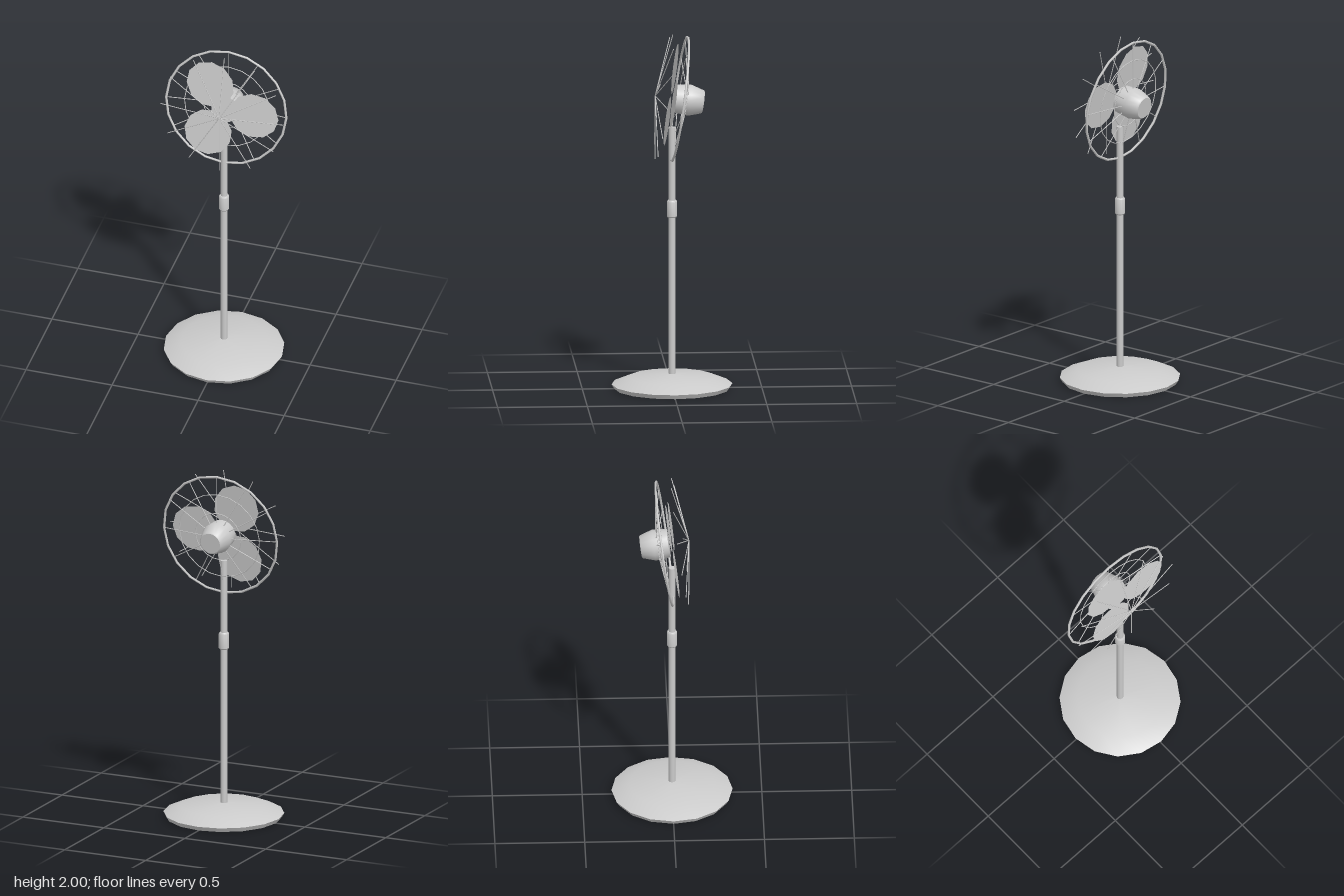
import * as THREE from 'three';
import { toCreasedNormals } from 'three/addons/utils/BufferGeometryUtils.js';

const material = new THREE.MeshStandardMaterial({ color: 0xcccccc });
const thin = new THREE.MeshStandardMaterial({ color: 0xcccccc, side: THREE.DoubleSide });

function add(parent, name, geometry, mat = material) {
  const mesh = new THREE.Mesh(geometry, mat);
  mesh.name = name;
  parent.add(mesh);
  return mesh;
}

function lathe(profile, sides) {
  const points = profile.map(([r, y]) => new THREE.Vector2(r, y));
  return toCreasedNormals(new THREE.LatheGeometry(points, sides), 0.6);
}

// Thin straight wire between two points
function wire(a, b, radius) {
  const dir = b.clone().sub(a);
  const g = new THREE.CylinderGeometry(radius, radius, dir.length(), 5);
  g.applyQuaternion(new THREE.Quaternion().setFromUnitVectors(
    new THREE.Vector3(0, 1, 0), dir.normalize()));
  const mid = a.clone().add(b).multiplyScalar(0.5);
  return g.translate(mid.x, mid.y, mid.z);
}

// Twelve wires running from an inner circle to an outer circle
function spokes(parent, name, r0, z0, r1, z1) {
  const group = new THREE.Group();
  group.name = name;
  for (let i = 0; i < 12; i++) {
    const a = (i * Math.PI) / 6, c = Math.cos(a), s = Math.sin(a);
    add(group, 'spoke', wire(
      new THREE.Vector3(r0 * c, r0 * s, z0),
      new THREE.Vector3(r1 * c, r1 * s, z1), 0.0025));
  }
  parent.add(group);
}

export function createModel() {
  const fan = new THREE.Group();
  fan.name = 'pedestalFan';

  // Stand
  add(fan, 'base', lathe(
    [[0, 0], [0.322, 0], [0.337, 0.025], [0.24, 0.065], [0.02, 0.082], [0, 0.082]], 16));
  add(fan, 'pole', new THREE.CylinderGeometry(0.019, 0.019, 1.41, 10)).position.y = 0.775;
  add(fan, 'heightCollar', lathe(
    [[0, 0.968], [0.024, 0.968], [0.029, 0.975], [0.029, 1.058], [0.024, 1.066], [0, 1.066]], 12));

  // Head, tilted slightly upward
  const head = new THREE.Group();
  head.name = 'head';
  head.position.y = 1.645;
  head.rotation.x = -0.14;
  fan.add(head);

  // Motor housing along the head axis
  add(head, 'motor', lathe(
    [[0, -0.176], [0.06, -0.176], [0.066, -0.17], [0.088, -0.1], [0.08, -0.018], [0, -0.018]], 18)
    .rotateX(Math.PI / 2));

  // Blades
  for (let i = 0; i < 3; i++) {
    const blade = new THREE.CircleGeometry(1, 11);
    blade.scale(0.143, 0.136, 1).translate(0.173, 0, 0).rotateZ((i * Math.PI * 2) / 3);
    add(head, 'blade', blade, thin);
  }

  // Rear guard rings: radius, tube, depth
  for (const [r, tube, z] of [[0.349, 0.007, -0.043], [0.247, 0.0025, -0.057], [0.14, 0.0025, -0.072]]) {
    add(head, 'guardRing', new THREE.TorusGeometry(r, tube, 6, 20)).position.z = z;
  }

  // Guard wires
  spokes(head, 'rearSpokes', 0.05, -0.085, 0.352, -0.043);
  spokes(head, 'frontSpokes', 0, 0.095, 0.355, 0.045);

  return fan;
}
